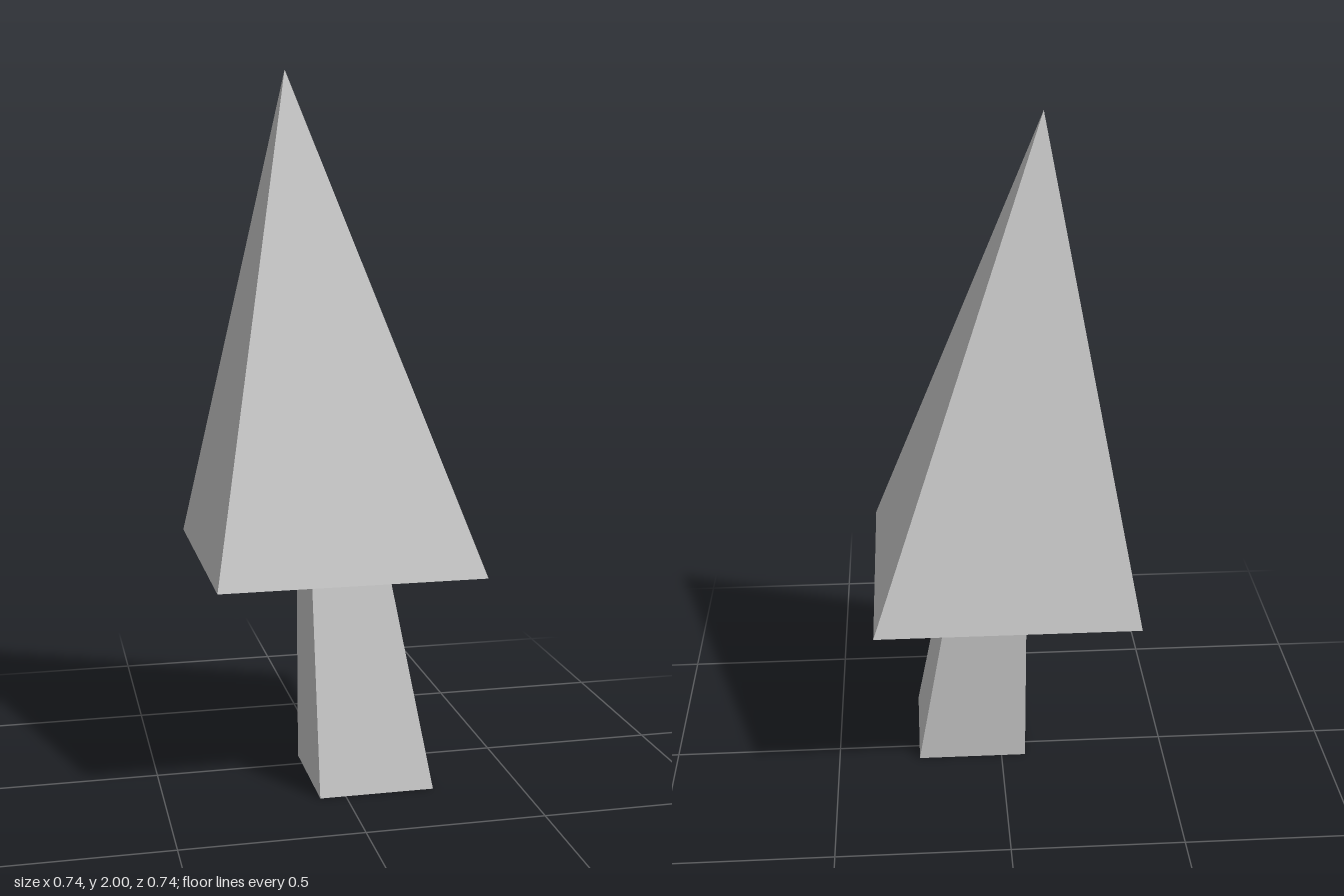
import * as THREE from 'three';

// Four-sided solid between two axis-aligned rectangles [x0, x1, z0, z1]
function taperedBlock(bottom, y0, top, y1) {
  const geometry = new THREE.BoxGeometry(1, 1, 1);
  const p = geometry.attributes.position;
  for (let i = 0; i < p.count; i++) {
    const up = p.getY(i) > 0;
    const [x0, x1, z0, z1] = up ? top : bottom;
    p.setXYZ(i, p.getX(i) < 0 ? x0 : x1, up ? y1 : y0, p.getZ(i) < 0 ? z0 : z1);
  }
  geometry.computeVertexNormals();
  return geometry;
}

// Pyramid on a square base with its tip shifted off centre
function leaningPyramid(half, y0, tip) {
  const geometry = new THREE.ConeGeometry(half * Math.SQRT2, 1, 4, 1).rotateY(Math.PI / 4).toNonIndexed();
  const p = geometry.attributes.position;
  for (let i = 0; i < p.count; i++) {
    if (p.getY(i) > 0) p.setXYZ(i, ...tip);
    else p.setY(i, y0);
  }
  geometry.computeVertexNormals();
  return geometry;
}

export function createModel() {
  const grey = new THREE.MeshStandardMaterial({ color: 0xcccccc, flatShading: true });
  grey.name = 'plain grey';

  const group = new THREE.Group();
  group.name = 'tree';
  const add = (name, geometry) => {
    const mesh = new THREE.Mesh(geometry, grey);
    mesh.name = name;
    group.add(mesh);
  };

  // Trunk, flaring toward the front left at its foot
  add('trunk', taperedBlock([-0.073, 0.253, -0.063, 0.26], 0, [-0.073, 0.145, -0.076, 0.142], 0.637));
  // Crown
  add('crown', leaningPyramid(0.37, 0.637, [-0.108, 2, -0.044]));
  return group;
}
